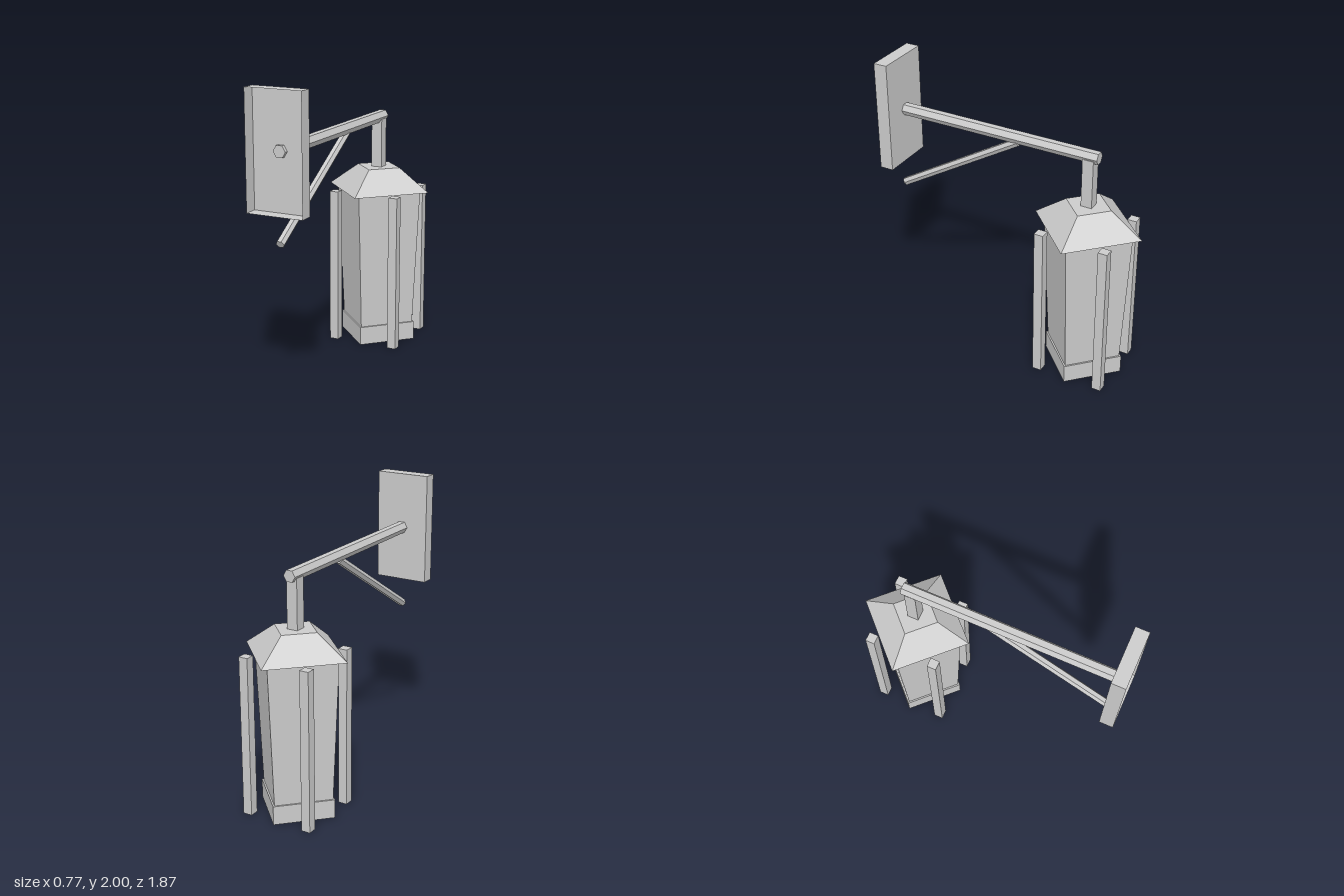
import * as THREE from 'three';

const grey = new THREE.MeshStandardMaterial({ color: 0xcccccc, flatShading: true });
const greyDouble = new THREE.MeshStandardMaterial({ color: 0xcccccc, flatShading: true, side: THREE.DoubleSide });

const LANTERN_Z = -0.55;

export function createModel() {
  const model = new THREE.Group();
  model.name = 'wallLantern';

  function add(parent, name, geometry, x, y, z, material = grey) {
    const mesh = new THREE.Mesh(geometry, material);
    mesh.name = name;
    mesh.position.set(x, y, z);
    parent.add(mesh);
    return mesh;
  }

  // Hexagonal rod between two points of the x = 0 plane, corners pointing sideways
  function addRod(name, radius, y0, z0, y1, z1) {
    const length = Math.hypot(y1 - y0, z1 - z0);
    const geometry = new THREE.CylinderGeometry(radius, radius, length, 6, 1, false, Math.PI / 2);
    const rod = add(model, name, geometry, 0, (y0 + y1) / 2, (z0 + z1) / 2);
    rod.rotation.x = Math.atan2(z1 - z0, y1 - y0);
  }

  // Four-sided tapered block with corners on the x and z axes
  function addFrustum(parent, name, rTop, rBottom, y0, y1) {
    add(parent, name, new THREE.CylinderGeometry(rTop, rBottom, y1 - y0, 4), 0, (y0 + y1) / 2, 0);
  }

  // Wall plate: shallow tray, open on the +z side
  const plate = new THREE.BoxGeometry(0.386, 0.77, 0.095);
  const faces = Array.from(plate.index.array);
  faces.splice(24, 6);
  plate.setIndex(faces);
  plate.clearGroups();
  add(model, 'wallPlate', plate, 0, 1.615, 0.8875, greyDouble);

  // Arm and diagonal brace
  addRod('arm', 0.043, 1.615, 0.865, 1.615, -0.613);
  addRod('brace', 0.029, 1.04, 0.868, 1.582, -0.03);

  // Hanging lantern
  const lantern = new THREE.Group();
  lantern.name = 'lantern';
  lantern.position.z = LANTERN_Z;
  model.add(lantern);

  add(lantern, 'hanger', new THREE.BoxGeometry(0.077, 0.35, 0.077), 0, 1.425, 0);
  addFrustum(lantern, 'roof', 0.162, 0.385, 1.1, 1.26);
  addFrustum(lantern, 'body', 0.322, 0.27, 0.03, 1.1);
  addFrustum(lantern, 'base', 0.29, 0.29, 0, 0.13);

  // Posts around the lantern
  for (const sx of [-1, 1]) {
    for (const sz of [-1, 1]) {
      add(lantern, 'post', new THREE.BoxGeometry(0.064, 1.1, 0.064), sx * 0.227, 0.55, sz * 0.227);
    }
  }

  return model;
}
